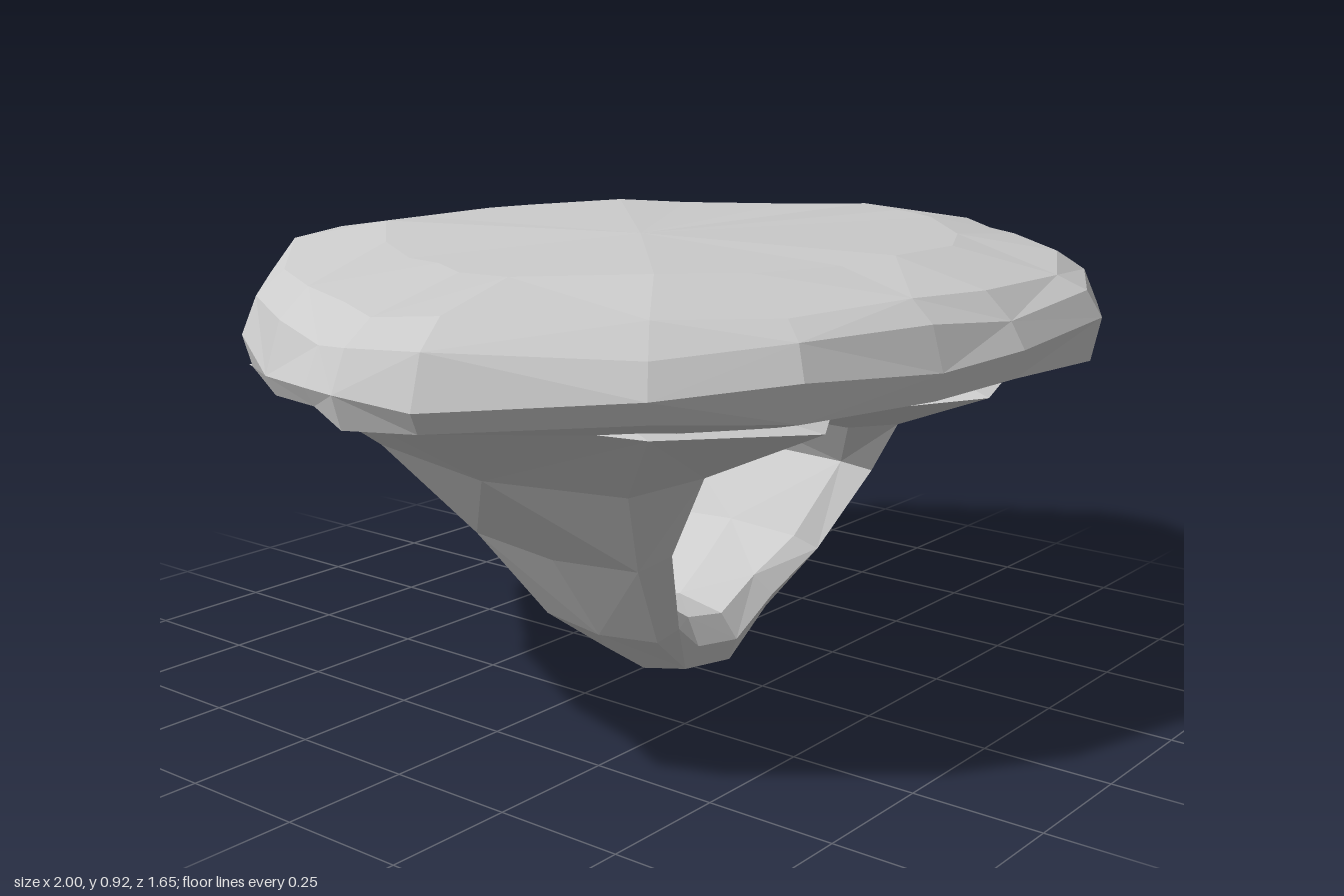
import * as THREE from 'three';

// Skins a list of equal-length rings and closes both ends with a fan.
function loft(rings, startTip, endTip) {
  const pos = [];
  const tri = (...pts) => pts.forEach((p) => pos.push(...p));
  const n = rings[0].length;
  for (let j = 0; j < n; j++) {
    const k = (j + 1) % n;
    for (let i = 0; i < rings.length - 1; i++) {
      const a = rings[i][j], b = rings[i][k], c = rings[i + 1][k], d = rings[i + 1][j];
      if ((i + j) % 2) { tri(a, d, c); tri(a, c, b); } else { tri(a, d, b); tri(d, c, b); }
    }
    const last = rings[rings.length - 1];
    tri(startTip, rings[0][j], rings[0][k]);
    tri(endTip, last[k], last[j]);
  }
  const g = new THREE.BufferGeometry();
  g.setAttribute('position', new THREE.Float32BufferAttribute(pos, 3));
  g.computeVertexNormals();
  return g;
}

// Irregular outline of the plateau, x and z, clockwise from above.
const outline = [
  [0.13, -0.83], [0.27, -0.78], [0.55, -0.63], [0.7, -0.47], [0.87, -0.18], [1, 0.05],
  [0.98, 0.19], [0.92, 0.29], [0.8, 0.42], [0.55, 0.66], [0.28, 0.8], [-0.05, 0.82],
  [-0.25, 0.78], [-0.53, 0.7], [-0.74, 0.56], [-0.96, 0.28], [-1, 0.15], [-0.95, 0.03],
  [-0.88, -0.15], [-0.71, -0.42], [-0.4, -0.75], [-0.2, -0.82],
];

// Plateau levels from the underside to the top:
// outline scale, height, roughness, tilt along x, tilt along z.
const levels = [
  [0.5, 0.62, 0.008, 0, 0], [0.84, 0.65, 0.008, -0.01, 0.015],
  [0.98, 0.678, 0.01, -0.015, 0.02], [1, 0.735, 0.012, 0, 0.025],
  [0.965, 0.8, 0.01, -0.01, 0.015], [0.9, 0.848, 0.006, -0.012, 0],
  [0.67, 0.887, 0.004, -0.008, 0],
];

// Arch stations from -x to +x: outer x, y, inner x, y, back z, front z,
// and the shift in x of the front and back ridges.
const stations = [
  [-0.82, 0.68, -0.1, 0.61, -0.58, 0.64, 0.08],
  [-0.5, 0.48, -0.2, 0.56, -0.42, 0.37, 0],
  [-0.35, 0.3, -0.24, 0.4, -0.25, 0.27, -0.02],
  [-0.23, 0.12, -0.18, 0.21, -0.16, 0.2, 0],
  [-0.11, 0.02, -0.1, 0.17, -0.1, 0.17, 0],
  [0.04, 0.0, 0.0, 0.15, -0.09, 0.17, 0],
  [0.16, 0.09, 0.1, 0.2, -0.12, 0.18, 0],
  [0.28, 0.19, 0.2, 0.26, -0.18, 0.22, -0.01],
  [0.42, 0.36, 0.31, 0.4, -0.28, 0.28, -0.03],
  [0.56, 0.52, 0.27, 0.48, -0.5, 0.37, -0.13],
  [0.85, 0.66, -0.05, 0.61, -0.78, 0.69, -0.33],
];

export function createModel() {
  const group = new THREE.Group();
  const stone = new THREE.MeshStandardMaterial({ color: 0xcccccc, flatShading: true });
  const add = (name, geometry) => {
    const mesh = new THREE.Mesh(geometry, stone);
    mesh.name = name;
    group.add(mesh);
  };

  // Flat-topped rock with a bevelled, slightly tipped rim
  const slabRings = levels.map(([s, y, rough, tiltX, tiltZ], i) => outline.map(([x, z], j) => [
    x * s,
    y + rough * Math.sin(j * 2.1 + i * 1.7) + tiltX * x + tiltZ * z,
    z * s,
  ]));
  add('plateau', loft(slabRings, [0, 0.59, 0], [-0.22, 0.915, 0.12]));

  // Two wedge-shaped legs meeting at the foot, leaving a hole from front to back
  const sides = 8;
  const archRings = stations.map(([ox, oy, ix, iy, zb, zf, lean]) =>
    Array.from({ length: sides }, (_, j) => {
      const a = (j / sides) * Math.PI * 2;
      const u = (1 - Math.cos(a)) / 2;
      const v = (1 + Math.sign(Math.sin(a)) * Math.abs(Math.sin(a)) ** 0.7) / 2;
      return [
        ox + (ix - ox) * u + lean * Math.sin(a) ** 2,
        oy + (iy - oy) * u,
        zb + (zf - zb) * v,
      ];
    }));
  add('arch', loft(archRings, [-0.45, 0.74, 0], [0.4, 0.74, 0]));

  return group;
}
